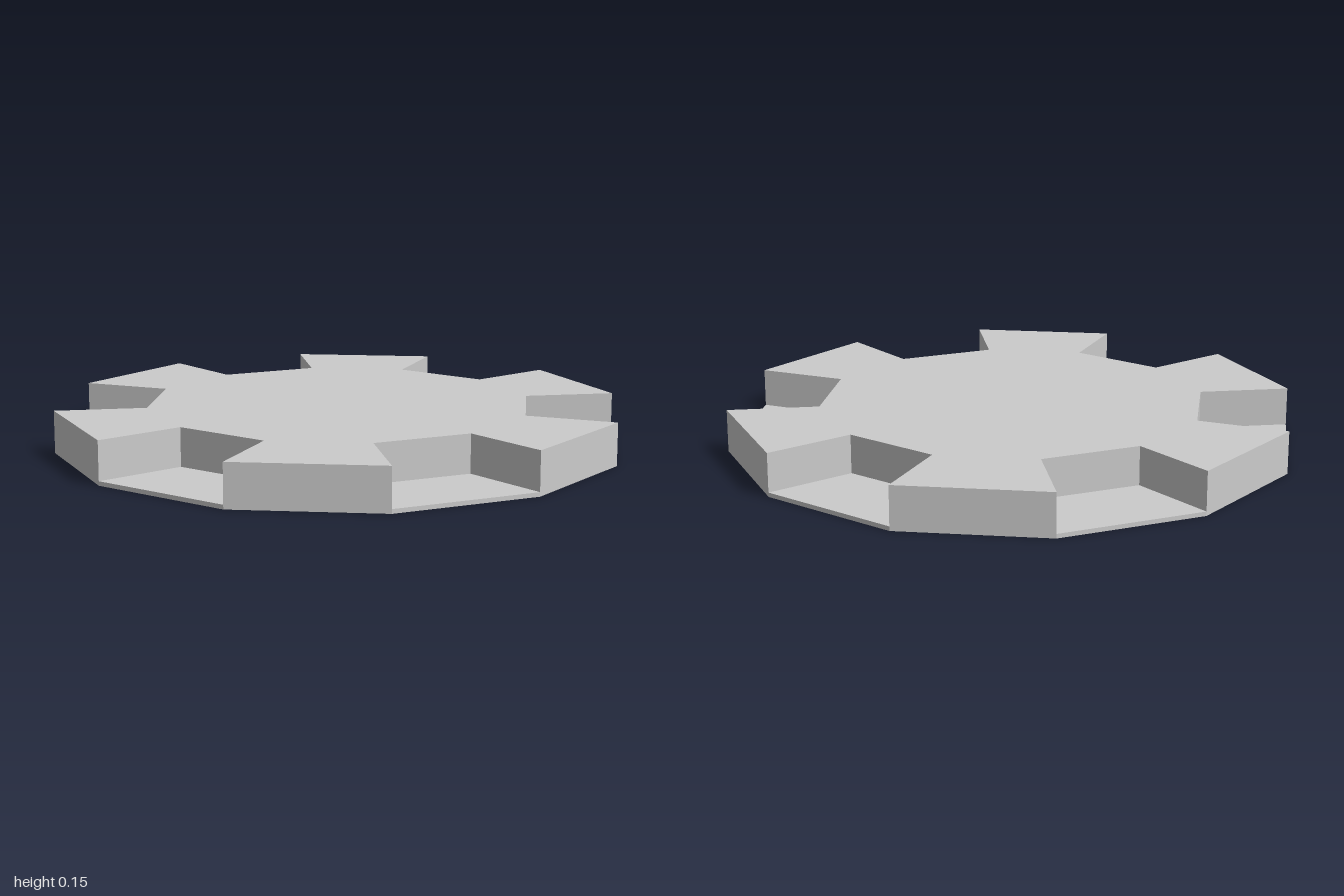
import * as THREE from 'three';

const NOTCHES = 6;
const STEP = Math.PI / 6; // twelve-sided outline
const OUTER = 1, INNER = 0.68;
const HEIGHT = 0.15, FLOOR = 0.015;

const polar = (radius, angle) =>
  new THREE.Vector2(radius * Math.cos(angle), radius * Math.sin(angle));

// Extrude a plan outline (x, z) from the ground up to the given height
function slab(name, points, height, material) {
  const geometry = new THREE.ExtrudeGeometry(new THREE.Shape(points), { depth: height, bevelEnabled: false });
  geometry.rotateX(Math.PI / 2).translate(0, height, 0);
  const mesh = new THREE.Mesh(geometry, material);
  mesh.name = name;
  return mesh;
}

export function createModel() {
  const group = new THREE.Group();
  group.name = 'notchedDisc';
  const material = new THREE.MeshStandardMaterial({ color: 0xcccccc, flatShading: true });

  // Toothed body: every other side of the outline is cut back to the inner radius
  const outline = [];
  for (let i = 0; i < NOTCHES; i++) {
    const a = i * 2 * STEP, b = a + STEP;
    outline.push(polar(OUTER, a), polar(INNER, a), polar(INNER, b), polar(OUTER, b));
  }
  group.add(slab('toothedBody', outline, HEIGHT, material));

  // Thin floors closing the bottom of each notch
  const notch = [polar(INNER, 0), polar(OUTER, 0), polar(OUTER, STEP), polar(INNER, STEP)];
  for (let i = 0; i < NOTCHES; i++) {
    const floor = slab('notchFloor' + (i + 1), notch, FLOOR, material);
    floor.rotation.y = -i * 2 * STEP;
    group.add(floor);
  }
  return group;
}
